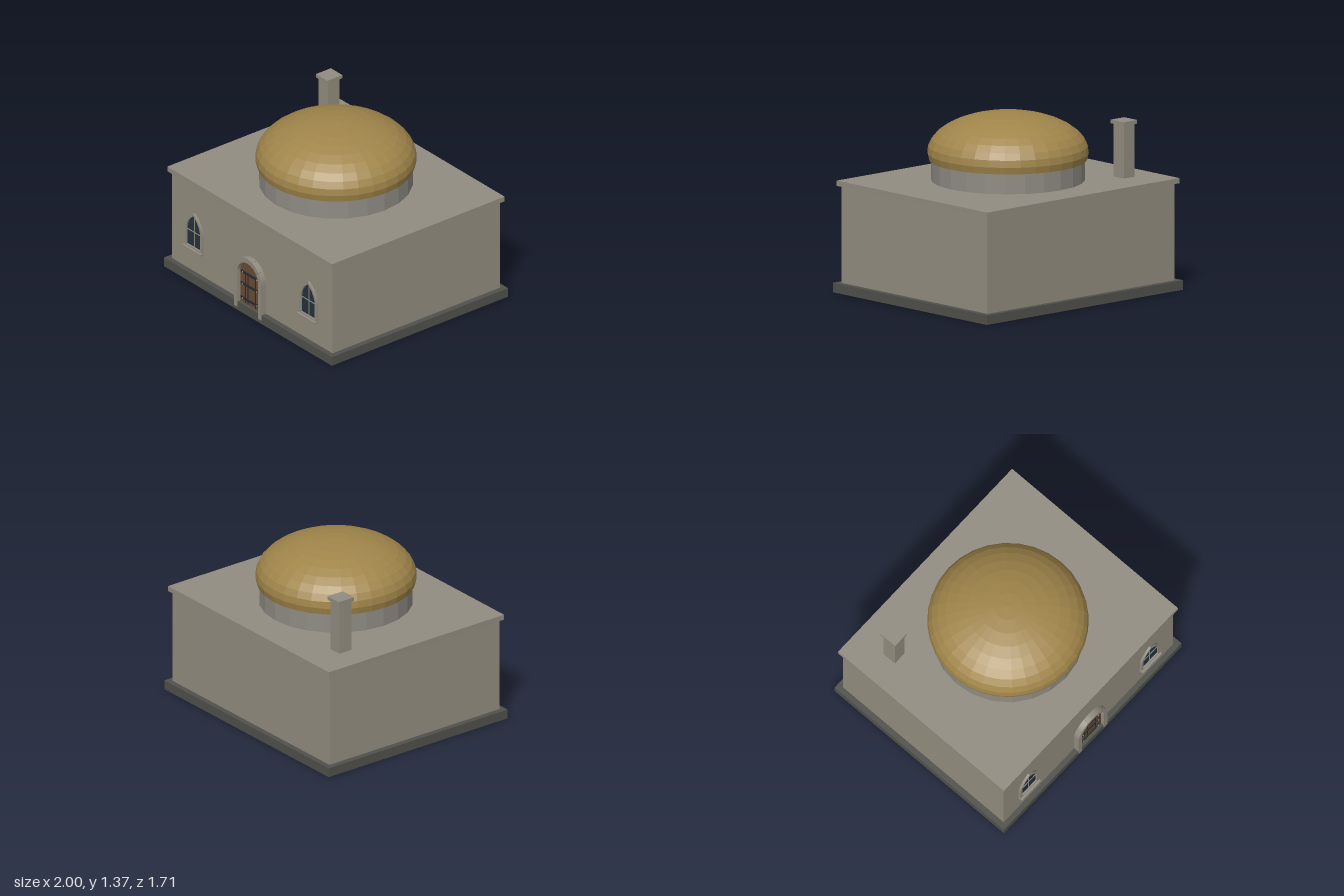
import * as THREE from 'three';

const mat = (name, color, extra = {}) => {
  const m = new THREE.MeshStandardMaterial({ color, ...extra });
  m.name = name;
  return m;
};

export function createModel() {
  const stone = mat('wall stone', 0x938d7f);
  const trim = mat('trim stone', 0x918c80);
  const drumStone = mat('drum stone', 0x8f8b84);
  const plinth = mat('dark plinth stone', 0x50504c);
  const gold = mat('aged gold', 0xa0854a);
  gold.flatShading = drumStone.flatShading = true;
  const glass = mat('dark glass', 0x24313b);
  const wood = mat('door wood', 0x694b36);
  const iron = mat('iron', 0x252c33);
  const brass = mat('brass studs', 0xa58a55);

  const model = new THREE.Group();
  model.name = 'domedBuilding';

  const add = (parent, name, geometry, material, x = 0, y = 0, z = 0) => {
    const mesh = new THREE.Mesh(geometry, material);
    mesh.name = name;
    mesh.position.set(x, y, z);
    parent.add(mesh);
    return mesh;
  };
  // Box given by width, bottom, top, depth and centre
  const box = (parent, name, material, w, y0, y1, d, x = 0, z = 0) =>
    add(parent, name, new THREE.BoxGeometry(w, y1 - y0, d), material, x, (y0 + y1) / 2, z);
  const extrude = (shape, depth) =>
    new THREE.ExtrudeGeometry(shape, { depth, bevelEnabled: false, curveSegments: 8 });

  // Main block
  box(model, 'plinth', plinth, 2, 0, 0.073, 1.706);
  box(model, 'walls', stone, 1.91, 0.073, 0.815, 1.62);
  box(model, 'roofSlab', trim, 1.96, 0.815, 0.855, 1.67);

  // Drum and faceted dome
  add(model, 'drum', new THREE.CylinderGeometry(0.58, 0.58, 0.155, 24), drumStone, 0, 0.9325, 0);
  const profile = [new THREE.Vector2(0, 1.01)];
  const start = -Math.asin(0.2), rings = 10;
  for (let i = 0; i <= rings; i++) {
    const a = start + (Math.PI / 2 - start) * (i / rings);
    profile.push(new THREE.Vector2(i === rings ? 0 : 0.607 * Math.cos(a), 1.07 + 0.3 * Math.sin(a)));
  }
  add(model, 'dome', new THREE.LatheGeometry(profile, 32), gold);

  // Chimney
  const chimney = new THREE.Group();
  chimney.name = 'chimney';
  chimney.position.set(-0.712, 0, -0.512);
  box(chimney, 'chimneyShaft', stone, 0.11, 0.855, 1.262, 0.115);
  box(chimney, 'chimneyCap', trim, 0.137, 1.262, 1.29, 0.145);
  model.add(chimney);

  // Pointed window outline
  const lancet = (C, hw, y0, spring, top) => {
    const s = new C();
    const bend = spring + (top - spring) * 0.6;
    s.moveTo(-hw, y0);
    s.lineTo(hw, y0);
    s.lineTo(hw, spring);
    s.quadraticCurveTo(hw * 0.9, bend, 0, top);
    s.quadraticCurveTo(-hw * 0.9, bend, -hw, spring);
    s.lineTo(-hw, y0);
    return s;
  };
  for (const side of [-1, 1]) {
    const win = new THREE.Group();
    win.name = side > 0 ? 'leftWindow' : 'rightWindow';
    win.position.x = side * 0.682;
    const frame = lancet(THREE.Shape, 0.103, 0.274, 0.42, 0.575);
    frame.holes.push(lancet(THREE.Path, 0.083, 0.286, 0.42, 0.553));
    add(win, 'windowFrame', extrude(frame, 0.025), trim, 0, 0, 0.803);
    add(win, 'windowGlass', extrude(lancet(THREE.Shape, 0.084, 0.28, 0.42, 0.555), 0.006), glass, 0, 0, 0.808);
    box(win, 'verticalBar', trim, 0.006, 0.286, 0.545, 0.006, 0, 0.816);
    box(win, 'crossBar', trim, 0.166, 0.409, 0.415, 0.006, 0, 0.816);
    box(win, 'windowSill', trim, 0.214, 0.256, 0.274, 0.045, 0, 0.824);
    model.add(win);
  }

  // Door with planks, straps and studs
  const door = new THREE.Group();
  door.name = 'door';
  const spring = 0.325, inner = 0.123, outer = 0.161;
  const leaf = new THREE.Shape();
  leaf.moveTo(-inner, 0.073);
  leaf.lineTo(inner, 0.073);
  leaf.lineTo(inner, spring);
  leaf.absarc(0, spring, inner + 0.002, 0, Math.PI, false);
  add(door, 'doorLeaf', extrude(leaf, 0.02), wood, 0, 0, 0.805);
  for (const x of [-0.06, -0.03, 0.06])
    box(door, 'plankGap', iron, 0.005, 0.075, 0.335, 0.004, x, 0.826);
  for (const y of [0.113, 0.235, 0.335]) {
    box(door, 'strap', iron, 0.225, y - 0.009, y + 0.009, 0.008, 0, 0.829);
    for (const x of [-0.085, 0.085]) {
      const stud = add(door, 'stud', new THREE.CylinderGeometry(0.006, 0.006, 0.005, 8), brass, x, y, 0.835);
      stud.rotation.x = Math.PI / 2;
    }
  }

  // Stone surround: two piers and five arch stones
  for (const side of [-1, 1])
    box(door, 'doorPier', trim, outer - inner, 0.028, spring, 0.052, side * (outer + inner) / 2, 0.83);
  for (let i = 0; i < 5; i++) {
    const a0 = (i * Math.PI) / 5 + 0.006, a1 = ((i + 1) * Math.PI) / 5 - 0.006;
    const s = new THREE.Shape();
    s.absarc(0, spring, outer, a0, a1, false);
    s.absarc(0, spring, inner, a1, a0, true);
    add(door, 'archStone', extrude(s, 0.052), trim, 0, 0, 0.804);
  }
  model.add(door);

  return model;
}
